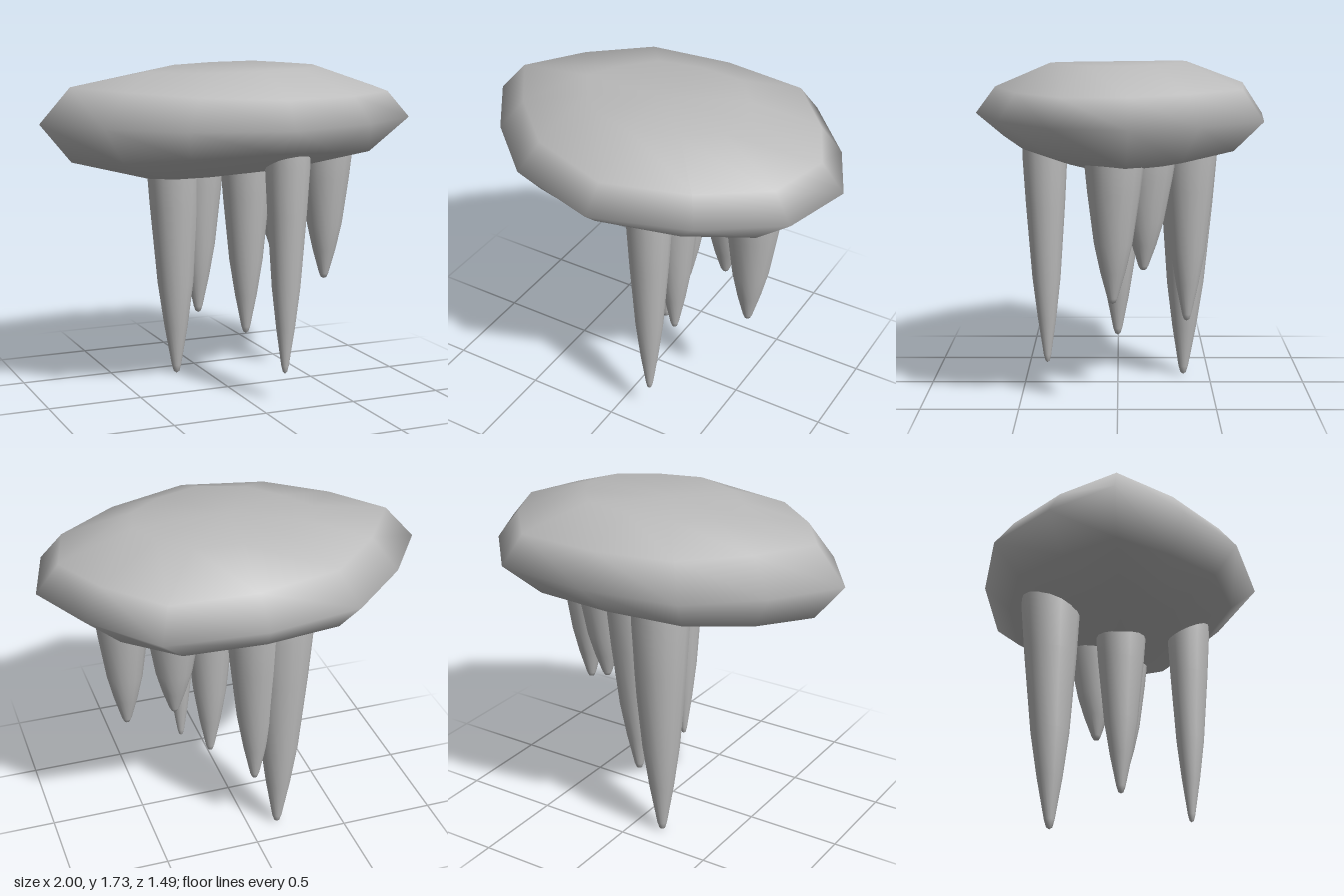
import * as THREE from 'three';

// Plan outline of the slab, [x, z], running from the left tip round the back
const OUTLINE = [
  [-1, -0.05], [-0.77, -0.38], [-0.45, -0.67], [0.04, -0.75], [0.55, -0.71], [0.84, -0.38],
  [1, -0.05], [0.9, 0.32], [0.53, 0.58], [0.04, 0.74], [-0.45, 0.59], [-0.77, 0.29],
];

// Rings from top to bottom: scale, shift in x, height at the ends, height change at front and back, tilt in x and z
const RINGS = [
  { s: 0.47, dx: 0.03, y: 1.715, dy: 0.01, tx: 0.01, tz: -0.005 },
  { s: 0.86, dx: 0.02, y: 1.62, dy: -0.01, tx: -0.02, tz: -0.015 },
  { s: 1, dx: 0, y: 1.46, dy: 0, tx: 0, tz: 0 },
  { s: 0.81, dx: -0.03, y: 1.263, dy: 0.06, tx: 0, tz: 0.02 },
  { s: 0.42, dx: -0.02, y: 1.18, dy: 0.03, tx: 0.02, tz: 0 },
];

function slabGeometry() {
  const n = OUTLINE.length;
  const pos = [0, 1.72, 0];
  const index = [];
  for (const r of RINGS) {
    for (const [x, z] of OUTLINE) {
      const side = Math.min(1, (z / 0.75) ** 2);
      pos.push(x * r.s + r.dx, r.y + r.dy * side + r.tx * x + r.tz * z, z * r.s);
    }
  }
  const last = 1 + n * RINGS.length;
  pos.push(0, 1.168, 0);
  for (let i = 0; i < n; i++) {
    const j = (i + 1) % n;
    index.push(0, 1 + j, 1 + i);
    for (let k = 0; k < RINGS.length - 1; k++) {
      const a = 1 + k * n + i, b = 1 + k * n + j;
      index.push(a, b, a + n, b, b + n, a + n);
    }
    index.push(last, last - n + i, last - n + j);
  }
  const g = new THREE.BufferGeometry();
  g.setAttribute('position', new THREE.Float32BufferAttribute(pos, 3));
  g.setIndex(index);
  g.computeVertexNormals();
  return g;
}

// Hanging spike: gently swelling taper with a blunt tip, leaning by lean [x, z] at the top
function spikeGeometry(tip, radius, lean) {
  const top = 1.36, h = top - tip;
  const profile = [[0, 0], [0.1, 0.008], [0.17, 0.035], [0.42, 0.2], [0.64, 0.38], [0.88, 0.7], [1, 0.9], [1, 1]];
  const g = new THREE.LatheGeometry(profile.map(([r, t]) => new THREE.Vector2(r * radius, tip + t * h)), 16);
  const p = g.attributes.position;
  for (let i = 0; i < p.count; i++) {
    const t = (p.getY(i) - tip) / h;
    p.setX(i, p.getX(i) + lean[0] * t);
    p.setZ(i, p.getZ(i) + lean[1] * t);
  }
  return g;
}

export function createModel() {
  const group = new THREE.Group();
  const stone = new THREE.MeshStandardMaterial({ color: 0xbcbcbc });
  stone.name = 'grey stone';

  const slab = new THREE.Mesh(slabGeometry(), stone);
  slab.name = 'rockSlab';
  group.add(slab);

  // Spikes: x, z, tip height, radius, lean
  const spikes = [
    [0.165, 0.37, 0.155, 0.115, [0.005, 0.005]],
    [-0.16, -0.36, 0, 0.155, [0, -0.02]],
    [-0.025, -0.37, 0.335, 0.145, [0.01, -0.01]],
    [0.105, 0, 0.29, 0.14, [0, 0]],
    [0.56, 0.025, 0.56, 0.148, [0.005, -0.01]],
    [0.34, -0.13, 0.685, 0.15, [0, -0.02]],
  ];
  spikes.forEach(([x, z, tip, radius, lean], i) => {
    const spike = new THREE.Mesh(spikeGeometry(tip, radius, lean), stone);
    spike.name = 'hangingSpike' + (i + 1);
    spike.position.set(x, 0, z);
    group.add(spike);
  });
  return group;
}
